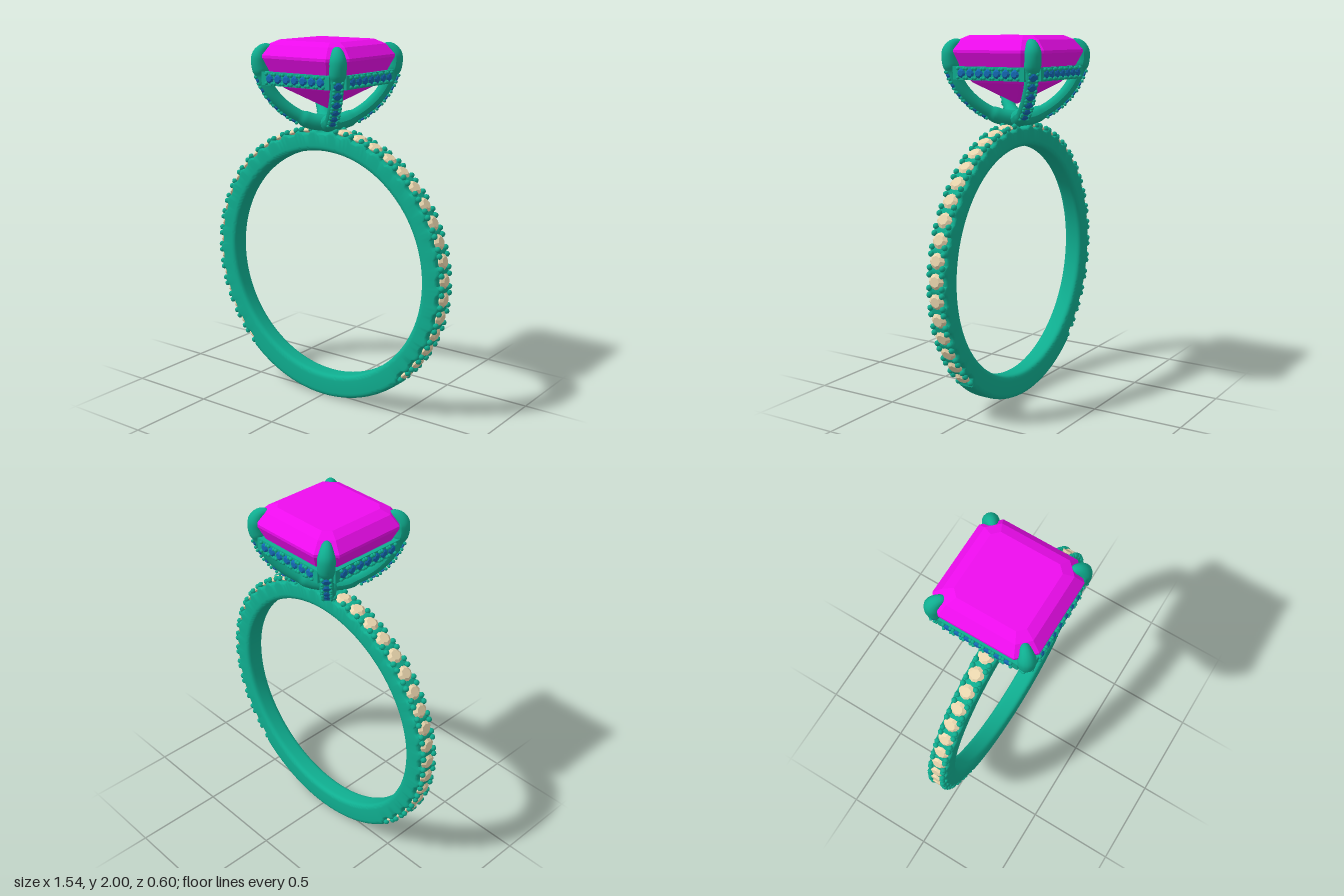
import * as THREE from 'three';
import { toCreasedNormals } from 'three/addons/utils/BufferGeometryUtils.js';

const metal = new THREE.MeshStandardMaterial({ color: 0x0fae90 });
const magenta = new THREE.MeshStandardMaterial({ color: 0xee0cee, flatShading: true });
const blue = new THREE.MeshStandardMaterial({ color: 0x1469b4, flatShading: true });
const cream = new THREE.MeshStandardMaterial({ color: 0xead6ae, flatShading: true });

const v = (x, y, z = 0) => new THREE.Vector3(x, y, z);
const rad = THREE.MathUtils.degToRad;

const BAND_Y = 0.77, OUTER = 0.768, INNER = 0.637, HALF = 0.056;

// Stone angles on the right-hand half of the band, in degrees above horizontal
const STONE_STEP = 7.85, FIRST = -44.4, STONES = 17;
const stoneAngles = Array.from({ length: STONES }, (_, i) => FIRST + i * STONE_STEP);

function mesh(name, geometry, material, parent) {
  const m = new THREE.Mesh(geometry, material);
  m.name = name;
  parent.add(m);
  return m;
}

// Small round-cut stone of radius 1, table facing +y
const stoneGeo = new THREE.LatheGeometry(
  [[0, -0.7], [1, -0.05], [1, 0.05], [0.6, 0.36], [0, 0.36]].map(([x, y]) => new THREE.Vector2(x, y)), 8);
const beadGeo = new THREE.SphereGeometry(1, 8, 6);

// A stone held by four corner beads; tangent and normal orient the setting
function setStone(parent, material, pos, normal, tangent, r, bead, dt, ds) {
  const setting = new THREE.Group();
  setting.name = 'stoneSetting';
  const side = tangent.clone().cross(normal);
  setting.setRotationFromMatrix(new THREE.Matrix4().makeBasis(tangent, normal, side));
  setting.position.copy(pos);
  mesh('stone', stoneGeo, material, setting).scale.setScalar(r);
  for (const a of [-1, 1]) for (const b of [-1, 1]) {
    const m = mesh('bead', beadGeo, metal, setting);
    m.position.set(a * dt, bead * 0.4, b * ds);
    m.scale.setScalar(bead);
  }
  parent.add(setting);
}

// Band: rounded rectangle turned about z, with the outside scalloped at each stone
function bandGeometry() {
  const c = 0.03, s = new THREE.Shape();
  s.moveTo(INNER + c, -HALF);
  s.lineTo(OUTER - c, -HALF);
  s.quadraticCurveTo(OUTER, -HALF, OUTER, -HALF + c);
  s.lineTo(OUTER, HALF - c);
  s.quadraticCurveTo(OUTER, HALF, OUTER - c, HALF);
  s.lineTo(INNER + c, HALF);
  s.quadraticCurveTo(INNER, HALF, INNER, HALF - c);
  s.lineTo(INNER, -HALF + c);
  s.quadraticCurveTo(INNER, -HALF, INNER + c, -HALF);
  const geo = new THREE.LatheGeometry(s.getPoints(5), 360);
  geo.rotateX(Math.PI / 2);
  const p = geo.attributes.position, base = 0.7;
  for (let i = 0; i < p.count; i++) {
    const x = p.getX(i), y = p.getY(i), r = Math.hypot(x, y);
    const deg = THREE.MathUtils.radToDeg(Math.atan2(y, Math.abs(x)));
    if (r < base || deg < FIRST - 4) continue;
    const k = (deg - FIRST) / STONE_STEP;
    const off = Math.abs(k - Math.round(k));
    const cut = 0.014 + 0.018 * (1 - THREE.MathUtils.smoothstep(off, 0.2, 0.36));
    const f = (base + (r - base) * (1 - cut / (OUTER - base))) / r;
    p.setXY(i, x * f, y * f);
  }
  return toCreasedNormals(geo, rad(40));
}

// Step-cut centre stone from eight-sided sections: [half width, corner cut, height]
function gemGeometry() {
  const sections = [[0, 0, 2], [0.195, 0.035, 2], [0.245, 0.06, 1.978], [0.29, 0.085, 1.925],
    [0.29, 0.085, 1.91], [0.258, 0.075, 1.84], [0.195, 0.055, 1.752], [0, 0, 1.635]];
  const ring = ([h, c, y]) => {
    const k = h - c;
    return [[h, -k], [h, k], [k, h], [-k, h], [-h, k], [-h, -k], [-k, -h], [k, -h]].map(([x, z]) => [x, y, z]);
  };
  const pos = [];
  for (let i = 0; i < sections.length - 1; i++) {
    const a = ring(sections[i]), b = ring(sections[i + 1]);
    for (let j = 0; j < 8; j++) {
      const n = (j + 1) % 8;
      if (i > 0) pos.push(...a[j], ...a[n], ...b[n]);
      if (i < sections.length - 2) pos.push(...a[j], ...b[n], ...b[j]);
      // close table and culet with one triangle per side
      if (i === 0) pos.push(...a[j], ...b[n], ...b[j]).valueOf;
    }
  }
  const geo = new THREE.BufferGeometry();
  geo.setAttribute('position', new THREE.Float32BufferAttribute(pos, 3));
  geo.computeVertexNormals();
  return geo;
}

// Claw path in its own upright plane
const clawPath = new THREE.CatmullRomCurve3([
  v(0, 1.555), v(0.1, 1.572), v(0.21, 1.632), v(0.29, 1.71), v(0.34, 1.8),
  v(0.362, 1.88), v(0.355, 1.93), v(0.325, 1.958), v(0.28, 1.95)]);

// Claw: tube, slimmer where stones are set, rounded to a point at the tip
function clawGeometry() {
  const n = 64, sides = 14;
  const geo = new THREE.TubeGeometry(clawPath, n, 1, sides);
  const p = geo.attributes.position, q = v(0, 0);
  const { smoothstep } = THREE.MathUtils;
  for (let i = 0; i < p.count; i++) {
    const u = Math.floor(i / (sides + 1)) / n;
    const c = clawPath.getPointAt(u);
    const slim = smoothstep(u, 0.18, 0.24) * (1 - smoothstep(u, 0.69, 0.74));
    const tip = u < 0.84 ? 1 : Math.pow(Math.max(0, (1 - u) / 0.16), 0.6);
    q.fromBufferAttribute(p, i).sub(c).multiplyScalar((0.044 - 0.009 * slim) * tip).add(c);
    p.setXYZ(i, q.x, q.y, q.z);
  }
  geo.computeVertexNormals();
  return geo;
}

export function createModel() {
  const ringModel = new THREE.Group();
  ringModel.name = 'ring';

  // Band and its stones
  const band = new THREE.Group();
  band.name = 'band';
  band.position.y = BAND_Y;
  mesh('bandBody', bandGeometry(), metal, band);
  for (const s of [-1, 1]) for (const deg of stoneAngles) {
    const a = s > 0 ? rad(deg) : Math.PI - rad(deg);
    const normal = v(Math.cos(a), Math.sin(a)), tangent = v(-Math.sin(a), Math.cos(a));
    setStone(band, cream, normal.clone().multiplyScalar(0.748), normal, tangent, 0.045, 0.016, 0.034, 0.038);
  }
  ringModel.add(band);

  // Centre stone
  mesh('centreStone', gemGeometry(), magenta, ringModel);

  // Setting: hub, four claws and four stone-set rails
  const head = new THREE.Group();
  head.name = 'head';
  mesh('hub', new THREE.SphereGeometry(0.046, 20, 14), metal, head).position.y = 1.553;
  const clawGeo = clawGeometry(), railGeo = new THREE.BoxGeometry(0.44, 0.07, 0.05);
  for (let i = 0; i < 4; i++) {
    const claw = new THREE.Group();
    claw.name = 'claw';
    claw.rotation.y = Math.PI / 4 + i * Math.PI / 2;
    mesh('clawBody', clawGeo, metal, claw);
    for (let k = 0; k < 6; k++) {
      const u = 0.265 + k * 0.081;
      const tangent = clawPath.getTangentAt(u), normal = v(tangent.y, -tangent.x);
      const pos = clawPath.getPointAt(u).addScaledVector(normal, 0.033);
      setStone(claw, blue, pos, normal, tangent, 0.024, 0.009, 0.019, 0.021);
    }
    head.add(claw);

    const rail = new THREE.Group();
    rail.name = 'rail';
    rail.rotation.y = i * Math.PI / 2;
    mesh('railBody', railGeo, metal, rail).position.set(0, 1.805, 0.256);
    for (let k = -3; k <= 3; k++)
      setStone(rail, blue, v(k * 0.055, 1.805, 0.281), v(0, 0, 1), v(1, 0, 0), 0.025, 0.01, 0.02, 0.024);
    head.add(rail);
  }
  ringModel.add(head);
  return ringModel;
}
